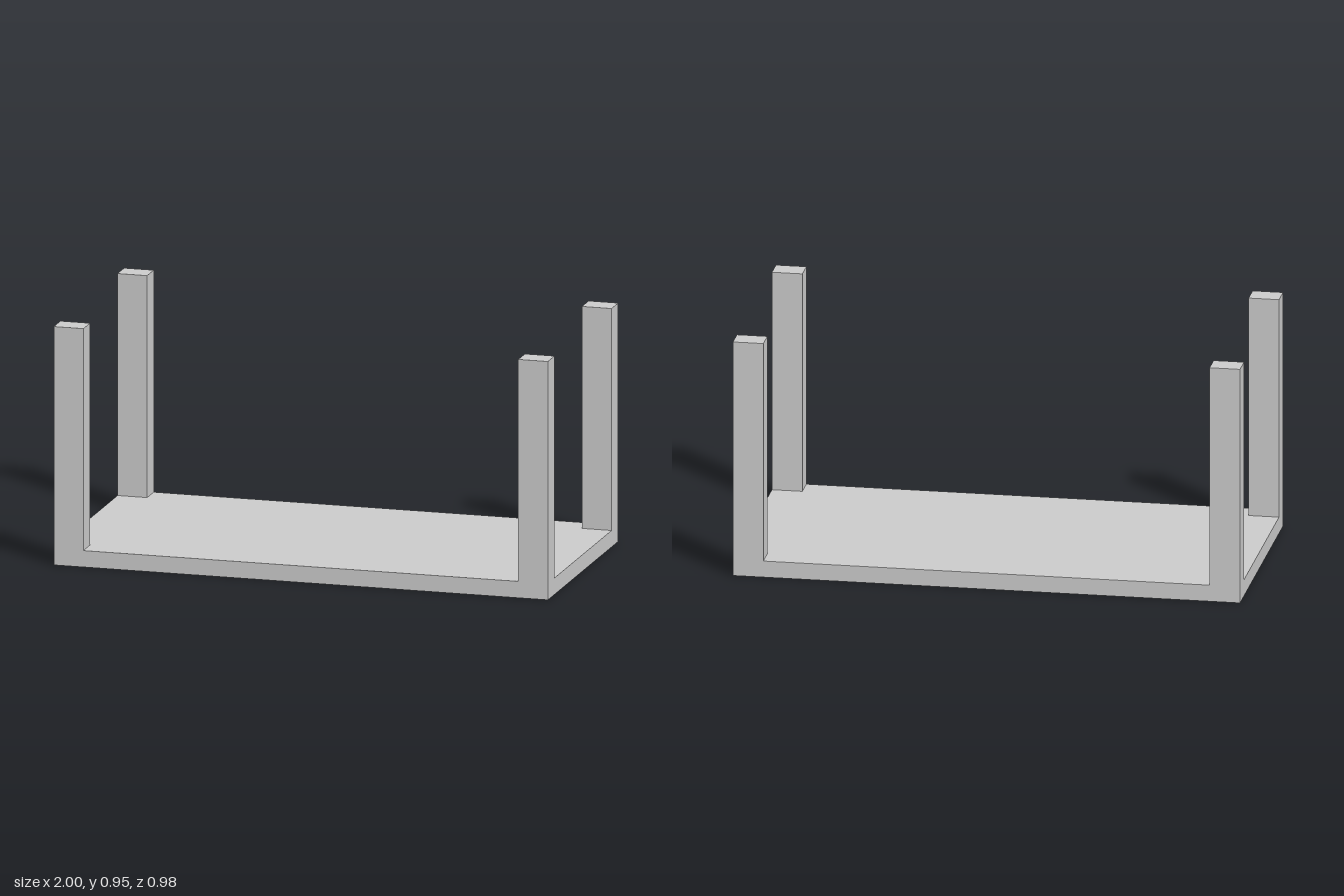
import * as THREE from 'three';

const WIDTH = 2, DEPTH = 0.976, HEIGHT = 0.955;
const SLAB = 0.066;                     // slab thickness
const LEG_X = 0.12, LEG_Z = 0.092;      // leg cross-section

export function createModel() {
  const model = new THREE.Group();
  model.name = 'upturnedTable';
  const material = new THREE.MeshStandardMaterial({ color: 0xcccccc });

  // Box standing on height y
  const addBox = (name, w, h, d, x, y, z) => {
    const mesh = new THREE.Mesh(new THREE.BoxGeometry(w, h, d), material);
    mesh.name = name;
    mesh.position.set(x, y + h / 2, z);
    model.add(mesh);
  };

  // Table top lying on the ground
  addBox('tableTop', WIDTH, SLAB, DEPTH, 0, 0, 0);

  // Four legs rising flush with the corners
  for (const [side, sx] of [['Left', 1], ['Right', -1]]) {
    for (const [end, sz] of [['front', 1], ['back', -1]]) {
      addBox(`${end}${side}Leg`, LEG_X, HEIGHT - SLAB, LEG_Z,
        sx * (WIDTH - LEG_X) / 2, SLAB, sz * (DEPTH - LEG_Z) / 2);
    }
  }
  return model;
}
